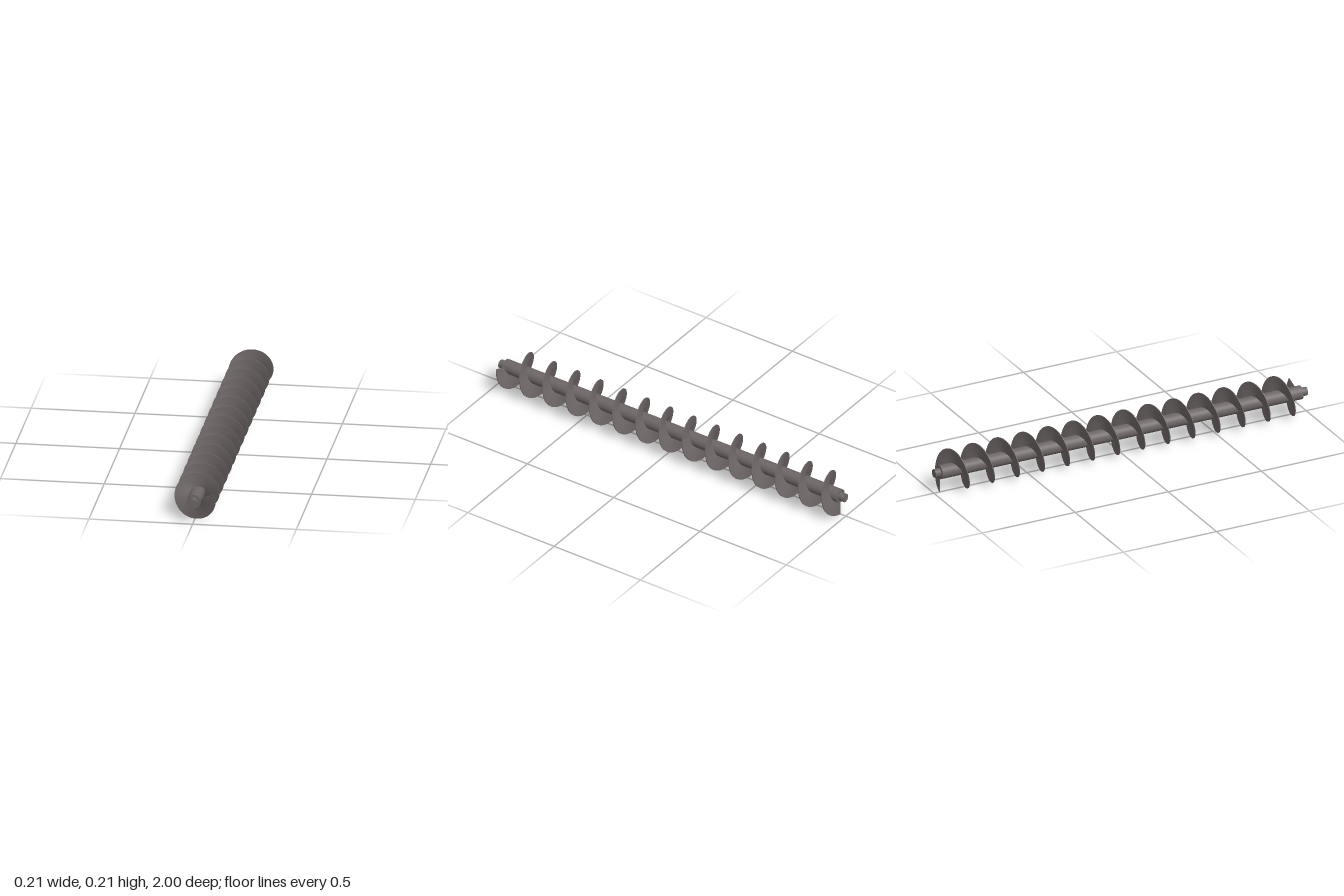
import * as THREE from 'three';

const AXIS_Y = 0.104;
const SHAFT_R = 0.034;
const FLIGHT_R = 0.104;

// Helical blade of rectangular section, winding clockwise from front to back
function flightGeometry({ inner, outer, thick, zStart, pitch, startAngle, turns, perTurn }) {
  const h = thick / 2;
  const section = [[inner, h], [outer, h], [outer, -h], [inner, -h]];
  const steps = Math.round(turns * perTurn);
  const pos = [], index = [];
  const addPoint = (i, [r, dz]) => {
    const turn = (i / steps) * turns;
    const a = startAngle - turn * Math.PI * 2;
    pos.push(r * Math.cos(a), r * Math.sin(a), zStart - turn * pitch + dz);
  };
  // front face, rim and back face, each with its own vertices for crisp edges
  for (let s = 0; s < 3; s++) {
    const base = pos.length / 3;
    for (let i = 0; i <= steps; i++) {
      addPoint(i, section[s]);
      addPoint(i, section[s + 1]);
      if (i < steps) {
        const p = base + i * 2;
        index.push(p, p + 2, p + 1, p + 1, p + 2, p + 3);
      }
    }
  }
  // end caps
  for (const [i, order] of [[0, [0, 1, 2, 3]], [steps, [3, 2, 1, 0]]]) {
    const b = pos.length / 3;
    for (const k of order) addPoint(i, section[k]);
    index.push(b, b + 1, b + 2, b, b + 2, b + 3);
  }
  const geo = new THREE.BufferGeometry();
  geo.setAttribute('position', new THREE.Float32BufferAttribute(pos, 3));
  geo.setIndex(index);
  geo.computeVertexNormals();
  return geo;
}

export function createModel() {
  const model = new THREE.Group();
  model.name = 'augerScrew';
  const steel = new THREE.MeshStandardMaterial({ color: 0x6e6666 });

  const add = (name, geo, z = 0) => {
    const mesh = new THREE.Mesh(geo, steel);
    mesh.name = name;
    mesh.position.set(0, AXIS_Y, z);
    model.add(mesh);
  };
  const rod = (r, len) => new THREE.CylinderGeometry(r, r, len, 48).rotateX(Math.PI / 2);

  // central shaft with a thinner journal at each end
  add('shaft', rod(SHAFT_R, 1.94));
  add('frontJournal', rod(0.021, 0.04), 0.98);
  add('backJournal', rod(0.021, 0.04), -0.98);

  // continuous screw blade
  add('screwFlight', flightGeometry({
    inner: SHAFT_R - 0.002,
    outer: FLIGHT_R,
    thick: 0.004,
    zStart: 0.959,
    pitch: 0.1347,
    startAngle: THREE.MathUtils.degToRad(20),
    turns: 14 + 110 / 360,
    perTurn: 64,
  }));

  return model;
}
